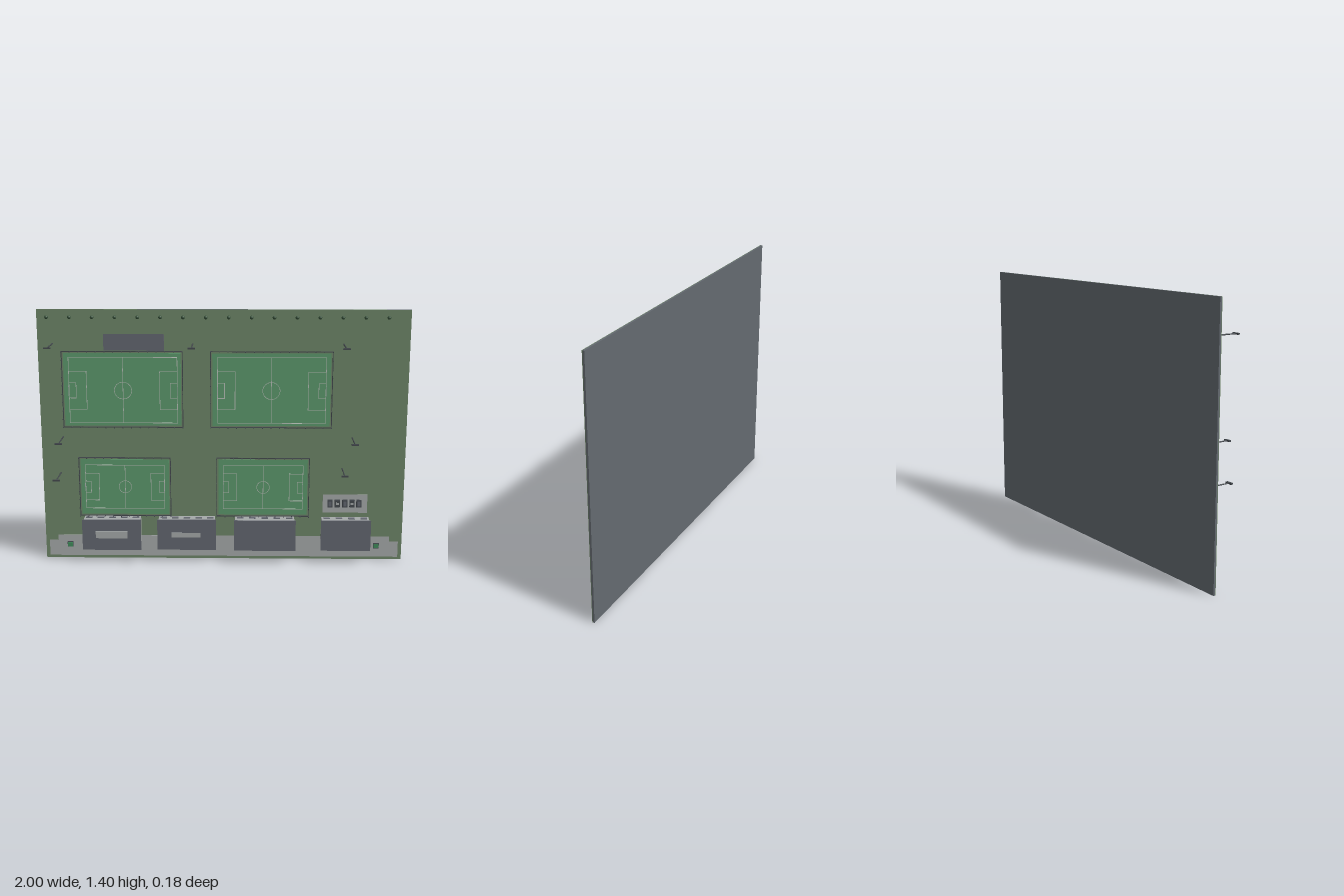
import * as THREE from 'three';

const mat = (name, color, side = THREE.FrontSide) => {
  const m = new THREE.MeshStandardMaterial({ color, side });
  m.name = name;
  return m;
};

export function createModel() {
  const M = {
    slab: mat('slab grey', 0x646a70),
    grass: mat('grass', 0x6d8567),
    turf: mat('pitch turf', 0x5b986b),
    pale: mat('pale grey', 0xa5a9a9),
    line: mat('pitch line', 0xb4beb5),
    roof: mat('roof grey', 0x62666f),
    dark: mat('dark metal', 0x43484d),
    tree: mat('tree green', 0x37523b),
    shrub: mat('planter green', 0x3f8a5a),
  };
  const root = new THREE.Group();
  root.name = 'sportsGround';
  const G = -0.076; // surface of the grass; the ground faces +z

  const group = (name) => {
    const g = new THREE.Group();
    g.name = name;
    root.add(g);
    return g;
  };
  // box given by its extents
  const box = (parent, name, m, x0, x1, y0, y1, z0, z1) => {
    const b = new THREE.Mesh(new THREE.BoxGeometry(x1 - x0, y1 - y0, z1 - z0), m);
    b.position.set((x0 + x1) / 2, (y0 + y1) / 2, (z0 + z1) / 2);
    b.name = name;
    parent.add(b);
    return b;
  };

  // Ground
  const ground = group('ground');
  box(ground, 'baseSlab', M.slab, -1, 1, 0, 1.405, -0.089, -0.079);
  box(ground, 'lawn', M.grass, -1, 1, 0, 1.405, -0.079, G);
  box(ground, 'forecourt', M.pale, -0.98, 0.98, 0.015, 0.105, G, -0.074);
  box(ground, 'forecourtStep', M.pale, -0.93, 0.93, 0.105, 0.135, G, -0.074);

  // Pitches: turf [x0,x1,y0,y1], marking rectangle, circle radius, box sizes
  const pitches = [
    { n: 'upperLeftPitch', t: [-0.865, -0.23, 0.77, 1.17], l: [-0.838, -0.25, 0.785, 1.147], c: [-0.545, 0.965], r: 0.047, pen: [0.095, 0.105], goal: [0.038, 0.042] },
    { n: 'upperRightPitch', t: [-0.06, 0.58, 0.77, 1.17], l: [-0.032, 0.555, 0.785, 1.147], c: [0.26, 0.965], r: 0.047, pen: [0.095, 0.105], goal: [0.038, 0.042] },
    { n: 'lowerLeftPitch', t: [-0.79, -0.302, 0.262, 0.578], l: [-0.765, -0.327, 0.295, 0.545], c: [-0.545, 0.42], r: 0.035, pen: [0.075, 0.078], goal: [0.03, 0.032] },
    { n: 'lowerRightPitch', t: [-0.028, 0.465, 0.262, 0.578], l: [0, 0.44, 0.295, 0.545], c: [0.22, 0.42], r: 0.035, pen: [0.075, 0.078], goal: [0.03, 0.032] },
  ];
  const T = -0.073, W = 0.0015;
  for (const p of pitches) {
    const g = group(p.n);
    const [x0, x1, y0, y1] = p.t, [a, b, c, d] = p.l;
    box(g, 'turf', M.turf, x0, x1, y0, y1, G, T);

    // Markings
    const stripeH = (xa, xb, y) => box(g, 'marking', M.line, xa - W, xb + W, y - W, y + W, T, T + 0.001);
    const stripeV = (x, ya, yb) => box(g, 'marking', M.line, x - W, x + W, ya, yb, T, T + 0.001);
    [c, d].forEach((y) => stripeH(a, b, y));
    [a, b, p.c[0]].forEach((x) => stripeV(x, c, d));
    const ring = new THREE.Mesh(new THREE.RingGeometry(p.r - W, p.r + W, 32), M.line);
    ring.position.set(p.c[0], p.c[1], T + 0.0012);
    ring.name = 'centreCircle';
    g.add(ring);
    for (const [x, s] of [[a, 1], [b, -1]]) {
      for (const [w, h] of [p.pen, p.goal]) {
        const xi = x + s * w;
        [-h, h].forEach((k) => stripeH(Math.min(x, xi), Math.max(x, xi), p.c[1] + k));
        stripeV(xi, p.c[1] - h, p.c[1] + h);
      }
      // Goal frame
      const h = p.goal[1] * 0.6, f = 0.0015;
      [-h, h].forEach((k) => box(g, 'goalPost', M.pale, x - f, x + f, p.c[1] + k - f, p.c[1] + k + f, T, -0.056));
      box(g, 'goalBar', M.pale, x - f, x + f, p.c[1] - h, p.c[1] + h, -0.058, -0.056);
    }

    // Fence: low rails with upright posts
    const e = 0.009, fx0 = x0 - e, fx1 = x1 + e, fy0 = y0 - e, fy1 = y1 + e, q = 0.002;
    [fy0, fy1].forEach((y) => box(g, 'fenceRail', M.dark, fx0 - q, fx1 + q, y - q, y + q, G, -0.069));
    [fx0, fx1].forEach((x) => box(g, 'fenceRail', M.dark, x - q, x + q, fy0, fy1, G, -0.069));
    const post = (x, y) => box(g, 'fencePost', M.dark, x - q, x + q, y - q, y + q, G, -0.052);
    const nx = Math.round((fx1 - fx0) / 0.046), ny = Math.round((fy1 - fy0) / 0.046);
    for (let i = 0; i <= nx; i++) [fy0, fy1].forEach((y) => post(fx0 + ((fx1 - fx0) * i) / nx, y));
    for (let i = 1; i < ny; i++) [fx0, fx1].forEach((x) => post(x, fy0 + ((fy1 - fy0) * i) / ny));
  }

  // Buildings: x0, x1, roof height, optional skylight [x0,x1,y0,y1]
  const buildings = [
    [-0.78, -0.455, 0.016, [-0.705, -0.53, 0.15, 0.19]],
    [-0.365, -0.04, 0.008, [-0.285, -0.125, 0.155, 0.18]],
    [0.06, 0.4, 0.017, null],
    [0.54, 0.815, 0.01, null],
  ];
  buildings.forEach(([x0, x1, z, sky], i) => {
    const g = group('building' + (i + 1));
    box(g, 'walls', M.pale, x0 + 0.006, x1 - 0.006, 0.086, 0.249, G, z - 0.008);
    box(g, 'roof', M.roof, x0, x1, 0.08, 0.255, z - 0.008, z);
    if (sky) box(g, 'skylight', M.pale, ...sky, z, z + 0.006);
    const n = i === 3 ? 4 : 5, step = (x1 - x0) / n;
    for (let k = 0; k < n; k++) {
      const x = x0 + step * (k + 0.5);
      [0.249, 0.086].forEach((y) => box(g, 'window', M.roof, x - 0.018, x + 0.018, y - 0.002, y + 0.002, -0.058, -0.036));
    }
  });

  // Small yard with five machines
  const yard = group('exerciseYard');
  box(yard, 'yardPaving', M.pale, 0.553, 0.8, 0.275, 0.38, G, -0.073);
  [0.593, 0.633, 0.675, 0.715, 0.753].forEach((x, i) => {
    box(yard, 'unit', M.dark, x - 0.014, x + 0.014, 0.31, 0.351, -0.073, -0.06);
    box(yard, 'unitTop', i % 2 ? M.pale : M.roof, x - 0.008, x + 0.008, i % 2 ? 0.324 : 0.316, i % 2 ? 0.337 : 0.345, -0.06, -0.059);
  });

  // Grandstand with canopy on posts and sloping seating
  const stand = group('grandstand');
  box(stand, 'canopy', M.roof, -0.637, -0.315, 1.193, 1.282, -0.018, -0.012);
  [-0.62, -0.475, -0.332].forEach((x) => box(stand, 'canopyPost', M.dark, x - 0.003, x + 0.003, 1.242, 1.248, G, -0.018));
  for (let i = 0; i < 4; i++) {
    const y = 1.2 + i * 0.012, z = -0.064 + i * 0.008;
    box(stand, 'seatRow', M.roof, -0.625, -0.325, y, y + 0.012, z - 0.004, z);
  }

  // Floodlights
  const lights = [[-0.92, 1.22], [-0.165, 1.22], [0.645, 1.22], [-0.88, 0.705], [0.705, 0.705], [-0.9, 0.5], [0.655, 0.53]];
  const poleGeo = new THREE.CylinderGeometry(0.003, 0.004, 0.16, 8).rotateX(Math.PI / 2);
  for (const [x, y] of lights) {
    const g = group('floodlight');
    const pole = new THREE.Mesh(poleGeo, M.dark);
    pole.name = 'pole';
    pole.position.set(x, y, 0.004);
    g.add(pole);
    box(g, 'lampHead', M.dark, x - 0.019, x + 0.019, y - 0.004, y + 0.004, 0.076, 0.089);
  }

  // Row of trees along the far edge
  const trunkGeo = new THREE.CylinderGeometry(0.003, 0.003, 0.028, 6).rotateX(Math.PI / 2);
  const crownGeo = new THREE.SphereGeometry(0.01, 12, 8);
  for (let i = 0; i < 16; i++) {
    const g = group('tree');
    g.position.set(-0.942 + i * 0.1213, 1.366, 0);
    const trunk = new THREE.Mesh(trunkGeo, M.dark);
    trunk.name = 'trunk';
    trunk.position.z = -0.062;
    const crown = new THREE.Mesh(crownGeo, M.tree);
    crown.name = 'crown';
    crown.position.z = -0.047;
    g.add(trunk, crown);
  }

  // Planters beside the forecourt
  for (const x of [-0.863, 0.857]) {
    const g = group('planter');
    box(g, 'planterBox', M.dark, x - 0.016, x + 0.016, 0.067, 0.097, -0.074, -0.068);
    box(g, 'planterShrub', M.shrub, x - 0.013, x + 0.013, 0.07, 0.094, -0.068, -0.064);
  }
  return root;
}
